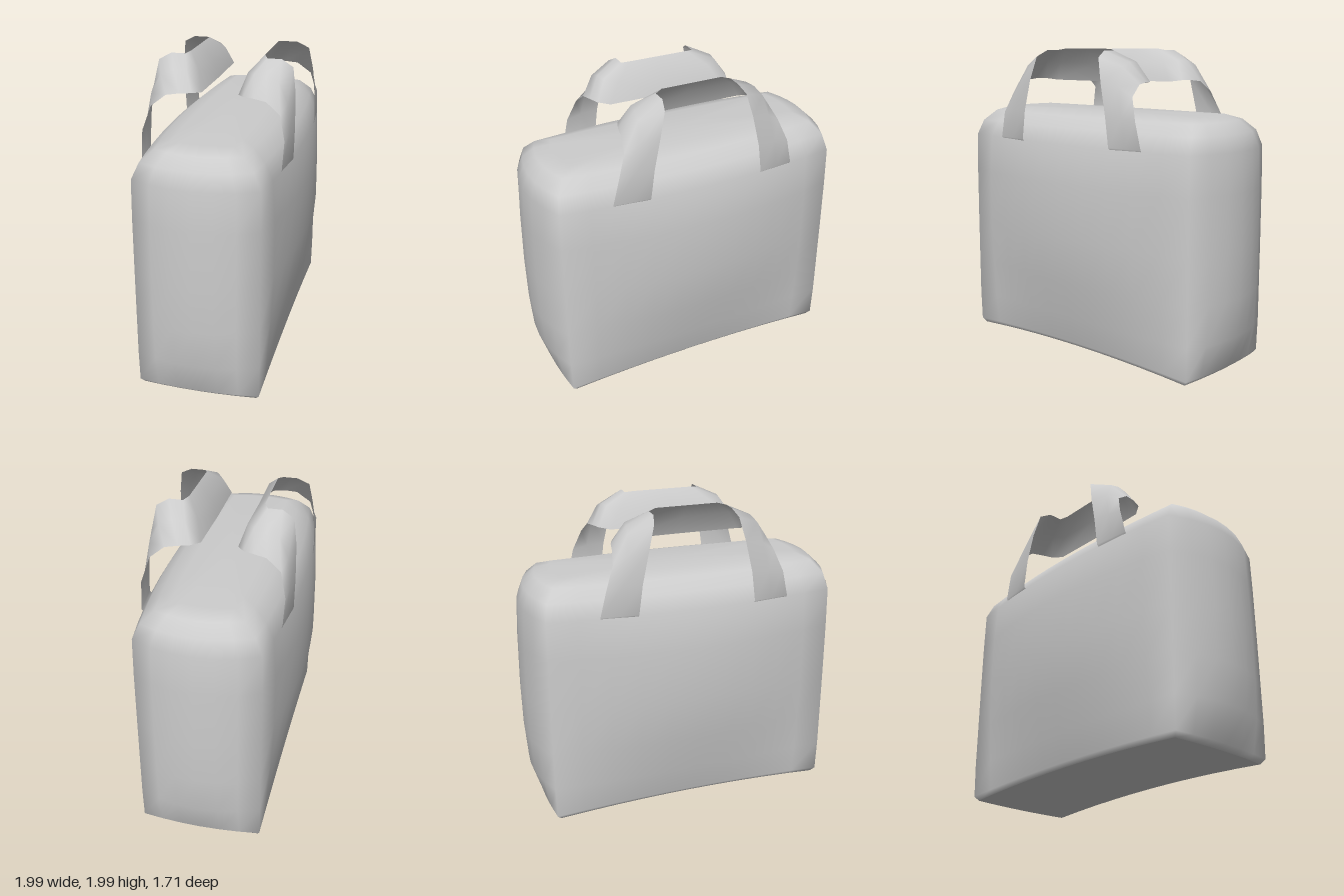
import * as THREE from 'three';

const material = new THREE.MeshStandardMaterial({ color: 0xcccccc, side: THREE.DoubleSide });

function makeGeometry(positions, index) {
  const geo = new THREE.BufferGeometry();
  geo.setAttribute('position', new THREE.Float32BufferAttribute(positions, 3));
  geo.setIndex(index);
  geo.computeVertexNormals();
  return geo;
}

// Body levels: height, half length, half depth, end bulge, side bulge, lift of the middle
const LEVELS = [
  [0.01, 0.91, 0.365, 0.02, 0.0, 0.035],
  [0.04, 0.935, 0.385, 0.03, 0.0, 0.03],
  [0.25, 0.94, 0.388, 0.09, 0.03, 0],
  [0.5, 0.94, 0.388, 0.11, 0.08, 0],
  [0.8, 0.94, 0.388, 0.115, 0.115, 0],
  [1.15, 0.938, 0.388, 0.11, 0.11, 0],
  [1.4, 0.935, 0.385, 0.1, 0.075, 0],
  [1.5, 0.915, 0.34, 0.08, 0.06, 0],
  [1.57, 0.86, 0.265, 0.06, 0.05, 0],
  [1.6, 0.78, 0.19, 0.03, 0.02, 0],
];
const LONG = 10, SHORT = 6;

// One closed outline, counter-clockwise from above, with bowed sides
function outline([y, halfLength, halfDepth, endBulge, sideBulge, lift]) {
  const half = [];
  for (let i = 0; i < LONG; i++) {
    const t = -1 + (2 * i) / LONG, k = 1 - t * t;
    half.push([halfLength * t, y + lift * k, halfDepth + sideBulge * k]);
  }
  for (let i = 0; i < SHORT; i++) {
    const t = 1 - (2 * i) / SHORT;
    half.push([halfLength + endBulge * (1 - t * t), y, halfDepth * t]);
  }
  return [...half, ...half.map(([x, h, z]) => [-x, h, -z])];
}

function bodyGeometry() {
  const rings = LEVELS.map(outline), n = rings[0].length, index = [];
  for (let i = 0; i < rings.length - 1; i++) {
    for (let j = 0; j < n; j++) {
      const a = i * n + j, b = i * n + ((j + 1) % n);
      index.push(a, b, b + n, a, b + n, a + n);
    }
  }
  // Top panel joins smoothly to the rounded upper edge
  const centre = rings.length * n, last = centre - n;
  for (let j = 0; j < n; j++) index.push(centre, last + j, last + ((j + 1) % n));
  return makeGeometry([...rings.flat(2), 0, 1.6, 0], index);
}

function baseGeometry() {
  const ring = outline(LEVELS[0]), n = ring.length, index = [];
  for (let j = 0; j < n; j++) index.push(n, (j + 1) % n, j);
  return makeGeometry([...ring.flat(), 0, 0.03, 0], index);
}

// Edges of half a strap, from the foot to the middle of the grip
const INNER = [
  [0.38, 1.38, 0.43], [0.38, 1.41, 0.46], [0.355, 1.6, 0.46], [0.31, 1.8, 0.45],
  [0.27, 1.95, 0.425], [0.25, 1.99, 0.35], [0.25, 1.99, 0.26], [0.2, 2.0, 0.235], [0, 2.0, 0.235],
];
const OUTER = [
  [0.61, 1.38, 0.41], [0.615, 1.41, 0.435], [0.575, 1.58, 0.44], [0.52, 1.72, 0.4],
  [0.5, 1.79, 0.31], [0.485, 1.8, 0.23], [0.46, 1.8, 0.16], [0.39, 1.79, 0.115], [0, 1.79, 0.11],
];
const BULGE = [0, 0, 0.01, 0.02, 0.03, 0.035, 0.035, 0.02, 0.015];

function strapGeometry() {
  const rows = INNER.map((p, i) => {
    const q = OUTER[i];
    const mid = p.map((v, k) => (v + q[k]) / 2);
    mid[0] += i < 8 ? BULGE[i] : 0;
    mid[1] += BULGE[i] * 0.8;
    mid[2] -= i > 6 ? BULGE[i] : 0;
    return [p, mid, q];
  });
  // Mirror the half strap across its middle
  const mirrored = rows.slice(0, -1).reverse().map((row) => row.map(([x, y, z]) => [-x, y, z]));
  const all = [...rows, ...mirrored], index = [];
  for (let i = 0; i < all.length - 1; i++) {
    for (let j = 0; j < 2; j++) {
      const a = i * 3 + j, b = a + 3;
      index.push(a, a + 1, b + 1, a, b + 1, b);
    }
  }
  return makeGeometry(all.flat(2), index);
}

export function createModel() {
  const model = new THREE.Group();
  model.name = 'handbag';

  const add = (name, geometry) => {
    const mesh = new THREE.Mesh(geometry, material);
    mesh.name = name;
    model.add(mesh);
    return mesh;
  };

  add('body', bodyGeometry());
  add('base', baseGeometry());

  // Two carrying straps, folded over towards each other
  const strap = strapGeometry();
  add('frontHandle', strap);
  add('backHandle', strap).rotation.y = Math.PI;

  // The bag stands at an angle
  model.rotation.y = THREE.MathUtils.degToRad(35);
  return model;
}
